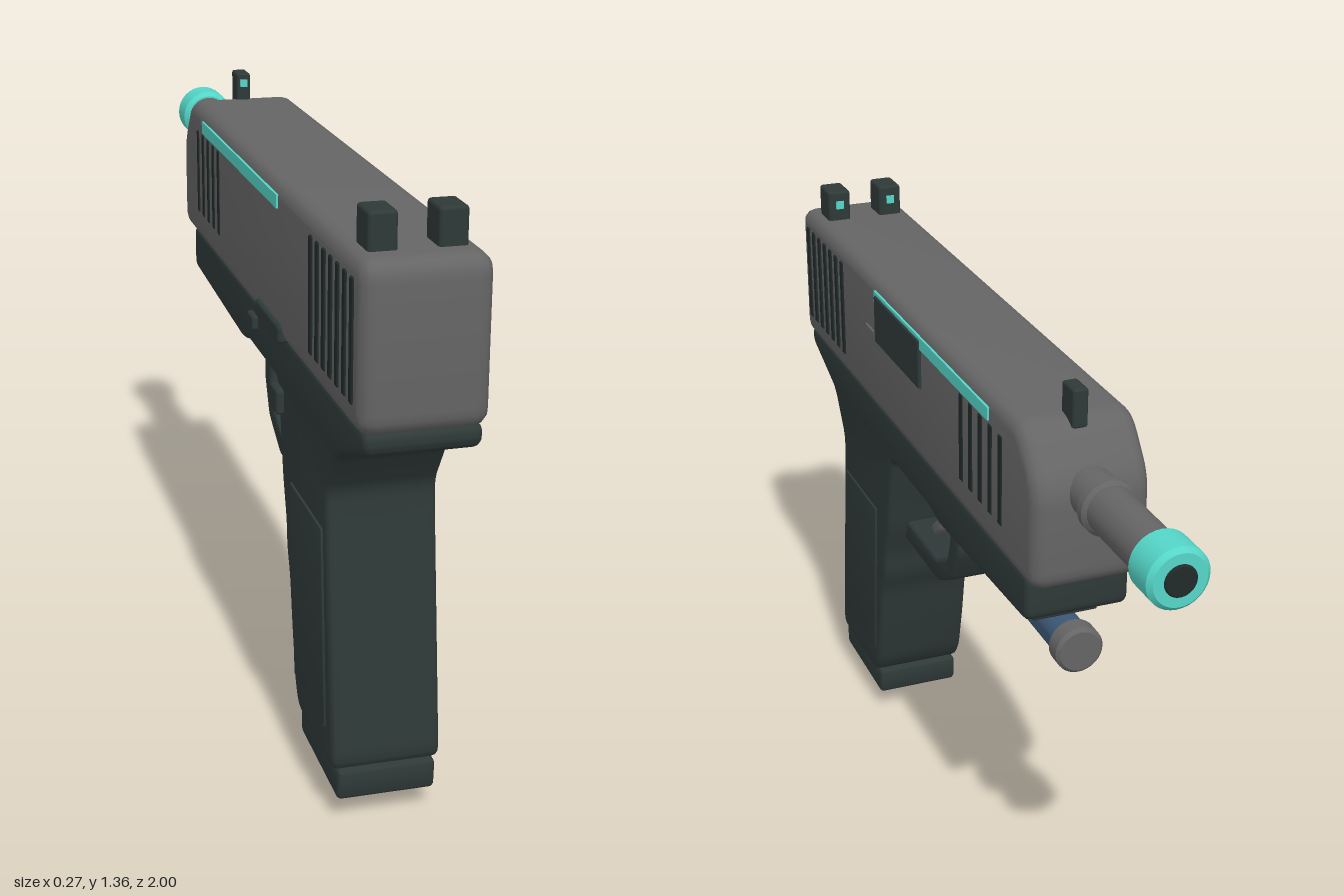
import * as THREE from 'three';
import { toCreasedNormals } from 'three/addons/utils/BufferGeometryUtils.js';
import { RoundedBoxGeometry } from 'three/addons/geometries/RoundedBoxGeometry.js';

const material = (name, color) => {
  const m = new THREE.MeshStandardMaterial({ color });
  m.name = name;
  return m;
};

// Closed shape in (z, y) with every corner eased by distance d
function easedShape(points, d) {
  const shape = new THREE.Shape();
  const P = points.map(([z, y]) => new THREE.Vector2(z, y));
  P.forEach((p, i) => {
    const toward = (q) => p.clone().lerp(q, Math.min(d / p.distanceTo(q), 0.45));
    const a = toward(P[(i + P.length - 1) % P.length]);
    const b = toward(P[(i + 1) % P.length]);
    if (i === 0) shape.moveTo(a.x, a.y);
    else shape.lineTo(a.x, a.y);
    shape.quadraticCurveTo(p.x, p.y, b.x, b.y);
  });
  shape.closePath();
  return shape;
}

// Side profile extruded across x, with rounded side edges
function profile(points, width, bevel, ease) {
  const geo = new THREE.ExtrudeGeometry(easedShape(points, ease), {
    depth: width - 2 * bevel, bevelEnabled: bevel > 0, bevelThickness: bevel,
    bevelSize: bevel, bevelOffset: -bevel, bevelSegments: 3, curveSegments: 5,
  });
  geo.translate(0, 0, bevel - width / 2);
  geo.rotateY(-Math.PI / 2);
  return toCreasedNormals(geo, 0.61);
}

// Turned part from [radius, height] pairs
function turned(pairs) {
  const pts = pairs.map(([r, t]) => new THREE.Vector2(r, t));
  return toCreasedNormals(new THREE.LatheGeometry(pts, 32), 0.6);
}

// Turned part running forward; pairs are [radius, z] with z decreasing
function turnedForward(pairs, y) {
  const geo = turned(pairs.map(([r, z]) => [r, -z]));
  return geo.rotateX(-Math.PI / 2).translate(0, y, 0);
}

// Plain rod with chamfered ends
const rod = (r, z0, z1, y, c = 0.008) =>
  turnedForward([[0, z0], [r - c, z0], [r, z0 - c], [r, z1 + c], [r - c, z1], [0, z1]], y);

export function createModel() {
  const gray = material('slide gray', 0x646564);
  const dark = material('frame dark', 0x2e3938);
  const black = material('recess black', 0x212a2a);
  const teal = material('accent teal', 0x55d6c8);
  const blue = material('tube blue', 0x3c5876);

  const model = new THREE.Group();
  model.name = 'pistol';
  const add = (name, geo, mat) => {
    const mesh = new THREE.Mesh(geo, mat);
    mesh.name = name;
    model.add(mesh);
    return mesh;
  };
  // Box given by its ranges on each axis
  const box = (name, mat, [x0, x1], [y0, y1], [z0, z1], r = 0) => {
    const size = [x1 - x0, y1 - y0, z1 - z0];
    const geo = r ? new RoundedBoxGeometry(...size, 2, r) : new THREE.BoxGeometry(...size);
    geo.translate((x0 + x1) / 2, (y0 + y1) / 2, (z0 + z1) / 2);
    return add(name, geo, mat);
  };

  // Slide with sloped nose
  add('slide', profile([
    [1.0, 0.94], [1.0, 1.28], [-0.52, 1.28], [-0.61, 1.17], [-0.61, 0.94],
  ], 0.256, 0.03, 0.045), gray);

  // Frame, tang and grip in one profile
  add('frame', profile([
    [0.99, 0.95], [0.99, 0.905], [0.80, 0.835], [0.73, 0.73], [0.735, 0.67],
    [0.80, 0.15], [0.79, 0.122], [0.51, 0.122], [0.48, 0.17], [0.45, 0.30],
    [0.43, 0.41], [0.405, 0.47], [0.40, 0.53], [0.37, 0.62], [0.33, 0.83],
    [0.05, 0.83], [0.0, 0.815], [-0.12, 0.82], [-0.545, 0.84], [-0.545, 0.95],
  ], 0.234, 0.015, 0.025), dark);

  // Grip base and its button
  add('gripBase', profile([
    [0.80, 0.055], [0.805, 0.125], [0.495, 0.125], [0.50, 0.055],
  ], 0.212, 0.01, 0.015), dark);
  const button = turned([[0, 0], [0.052, 0], [0.06, 0.008], [0.06, 0.047], [0.054, 0.06], [0, 0.06]]);
  add('baseButton', button.translate(0, 0, 0.65), teal);

  // Details repeated on both sides
  for (const s of [1, -1]) {
    const side = s > 0 ? 'left' : 'right';
    const span = (a, b) => (s > 0 ? [a, b] : [-b, -a]);

    const panel = profile([[0.71, 0.64], [0.455, 0.64], [0.50, 0.20], [0.745, 0.20]], 0.012, 0.003, 0.006);
    add(side + 'GripPanel', panel.translate(s * 0.116, 0, 0), dark);

    for (let i = 0; i < 7; i++) {
      const z = 0.94 - i * 0.048;
      box(side + 'RearSerration', black, span(0.122, 0.132), [0.995, 1.24], [z - 0.011, z + 0.011], 0.004);
    }
    for (let i = 0; i < 5; i++) {
      const z = -0.195 - i * 0.057;
      box(side + 'FrontSerration', black, span(0.121, 0.1305), [1.015, 1.22], [z - 0.011, z + 0.011], 0.004);
    }
    box(side + 'AccentStripe', teal, span(0.1225, 0.132), [1.226, 1.255], [-0.36, 0.385]);

    // Rear sight post with a dot on its forward face
    box(side + 'RearSight', dark, span(0.039, 0.097), [1.27, 1.355], [0.85, 0.93], 0.008);
    box(side + 'RearSightDot', teal, span(0.058, 0.078), [1.31, 1.33], [0.846, 0.852]);
  }

  // Front sight
  box('frontSight', dark, [-0.017, 0.017], [1.26, 1.345], [-0.535, -0.475], 0.006);
  box('frontSightDot', teal, [-0.009, 0.009], [1.312, 1.33], [-0.476, -0.471]);

  // Port cover and extractor
  box('portCover', dark, [0.115, 0.136], [1.13, 1.247], [0.06, 0.375], 0.004);
  box('extractor', gray, [0.12, 0.132], [1.125, 1.148], [0.35, 0.46], 0.004);

  // Controls on the -x side
  box('slideStop', dark, [-0.138, -0.11], [0.94, 0.98], [0.21, 0.42], 0.008);
  box('takedownTab', dark, [-0.131, -0.105], [0.885, 0.918], [0.10, 0.155], 0.006);
  box('magazineCatch', dark, [-0.134, -0.105], [0.768, 0.825], [0.33, 0.39], 0.007);

  // Barrel, ring and muzzle
  add('barrel', turnedForward([
    [0, -0.5], [0.052, -0.5], [0.052, -0.91], [0, -0.91],
  ], 1.15), gray);
  add('barrelRing', rod(0.061, -0.655, -0.69, 1.15), gray);
  add('muzzleCap', rod(0.066, -0.9, -0.995, 1.15, 0.01), teal);
  add('bore', rod(0.034, -0.97, -1.0, 1.15, 0.003), black);

  // Trigger guard and trigger
  add('triggerGuard', profile([
    [0.42, 0.635], [0.42, 0.578], [0.145, 0.578], [0.04, 0.635], [0.0, 0.72], [0.0, 0.85],
    [0.065, 0.85], [0.058, 0.73], [0.08, 0.67], [0.155, 0.633],
  ], 0.13, 0.008, 0.014), dark);
  add('trigger', profile([
    [0.25, 0.85], [0.232, 0.75], [0.247, 0.69], [0.29, 0.655], [0.265, 0.638],
    [0.225, 0.67], [0.197, 0.75], [0.21, 0.85],
  ], 0.06, 0.006, 0.012), gray);

  // Tube under the frame, held by rail blocks
  add('underTube', rod(0.044, -0.03, -0.54, 0.76), blue);
  add('tubeRearCap', rod(0.054, -0.003, -0.056, 0.76), gray);
  add('tubeFrontCap', rod(0.054, -0.513, -0.566, 0.76), gray);
  for (let i = 0; i < 5; i++) {
    const z = -0.1 - i * 0.09;
    box('railBlock', dark, [-0.075, 0.075], [0.803, 0.85], [z - 0.022, z + 0.022], 0.005);
  }

  return model;
}
